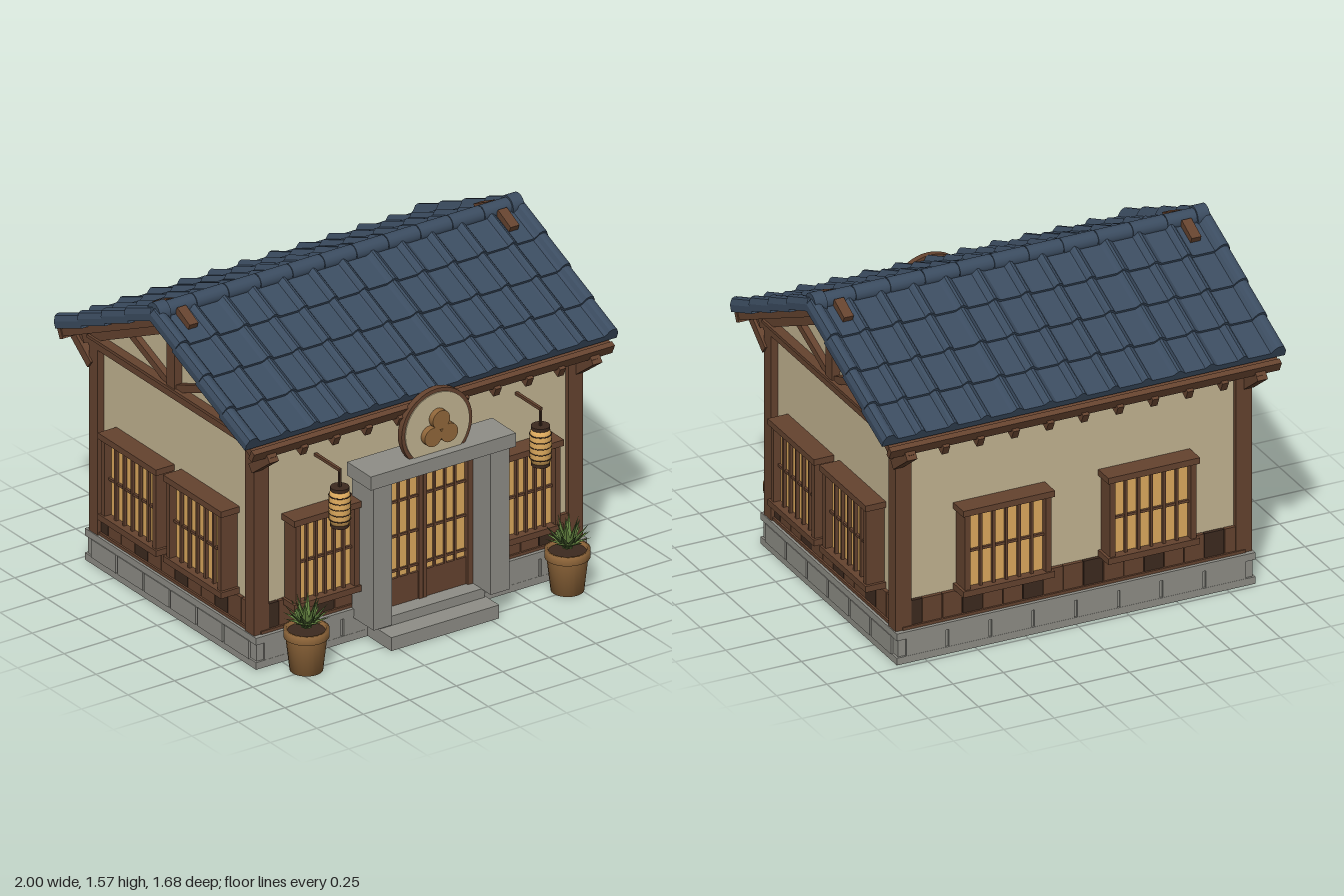
import * as THREE from 'three';

const paint = (name, color, side = THREE.FrontSide) => {
  const m = new THREE.MeshStandardMaterial({ color, side });
  m.name = name;
  return m;
};

export function createModel() {
  const root = new THREE.Group();
  root.name = 'tiledRoofHouse';
  const plaster = paint('plaster', 0xc4b592), stone = paint('stone', 0x8f8e87);
  const wood = paint('wood', 0x65432f), darkWood = paint('darkWood', 0x3d2a1f);
  const paper = paint('paper', 0xdfab5e), tile = paint('roofTile', 0x3b4c60);
  const clay = paint('clay', 0x92683b), leafLight = paint('leafLight', 0x64823f);
  const leafDark = paint('leafDark', 0x48602f);
  const CZ = -0.055, SLOPE = 0.443; // house centre line and roof pitch

  const add = (parent, name, geo, mat, x = 0, y = 0, z = 0) => {
    const m = new THREE.Mesh(geo, mat);
    m.name = name;
    m.position.set(x, y, z);
    parent.add(m);
    return m;
  };
  const group = (parent, name, x = 0, y = 0, z = 0) => {
    const g = new THREE.Group();
    g.name = name;
    g.position.set(x, y, z);
    parent.add(g);
    return g;
  };
  const box = (parent, name, mat, w, h, d, x, y, z) =>
    add(parent, name, new THREE.BoxGeometry(w, h, d), mat, x, y, z);
  // Box given by its limits
  const span = (parent, name, mat, x0, x1, y0, y1, z0, z1) =>
    box(parent, name, mat, x1 - x0, y1 - y0, z1 - z0, (x0 + x1) / 2, (y0 + y1) / 2, (z0 + z1) / 2);
  // Beam between two points of a plane of constant x
  const beam = (parent, name, mat, x, w, t, [z0, y0], [z1, y1]) => {
    const m = box(parent, name, mat, w, t, Math.hypot(z1 - z0, y1 - y0), x, (y0 + y1) / 2, (z0 + z1) / 2);
    m.rotation.x = -Math.atan2(y1 - y0, z1 - z0);
  };

  // House shell, centred on its own middle line
  const house = group(root, 'house', 0, 0, CZ);
  const section = new THREE.Shape([[-0.625, 0.12], [0.625, 0.12], [0.625, 1.13], [0, 1.44], [-0.625, 1.13]]
    .map(([z, y]) => new THREE.Vector2(z, y)));
  const shell = new THREE.ExtrudeGeometry(section, { depth: 1.7, bevelEnabled: false });
  shell.translate(0, 0, -0.85).rotateY(-Math.PI / 2);
  add(house, 'walls', shell, plaster);

  // Stone base, with blocks and wainscot planks on each side
  span(house, 'baseCore', stone, -0.88, 0.88, 0, 0.125, -0.66, 0.66);
  span(house, 'baseCap', stone, -0.89, 0.89, 0.12, 0.155, -0.67, 0.67);
  span(house, 'baseFoot', stone, -0.89, 0.89, 0, 0.035, -0.67, 0.67);
  const sides = [[0, 0.85, 0.625], [Math.PI, 0.85, 0.625], [Math.PI / 2, 0.625, 0.85], [-Math.PI / 2, 0.625, 0.85]];
  sides.forEach(([turn, half, out], side) => {
    const g = group(house, 'wallSide');
    g.rotation.y = turn;
    const n = Math.round(half * 2 / 0.21), pitch = half * 2 / n;
    for (let i = 0; i < n; i++)
      box(g, 'baseBlock', stone, pitch - 0.014, 0.09, 0.01, -half + (i + 0.5) * pitch, 0.078, out + 0.039);
    const planks = Math.round(half * 2 / 0.102), w = half * 2 / planks;
    for (let i = 0; i < planks; i++) {
      const x = -half + (i + 0.5) * w;
      if (side === 0 && Math.abs(x) < 0.27) continue;
      box(g, 'wainscotPlank', i % 3 ? wood : darkWood, w - 0.004, 0.14, 0.02, x, 0.22, out + 0.008);
    }
    box(g, 'sillBeam', wood, half * 2, 0.015, 0.035, 0, 0.162, out + 0.01);
    box(g, 'topBeam', wood, half * 2 + 0.06, 0.045, 0.05, 0, 1.092, out + 0.01);
  });
  for (const sx of [-1, 1]) for (const sz of [-1, 1]) {
    box(house, 'cornerPost', wood, 0.08, 0.98, 0.07, sx * 0.845, 0.63, sz * 0.612);
    beam(house, 'eaveBracket', wood, sx * 0.87, 0.05, 0.045, [sz * 0.63, 0.98], [sz * 0.77, 1.085]);
  }

  // Gable trusses
  for (const x of [-0.86, 0.86]) {
    box(house, 'kingPost', wood, 0.06, 0.34, 0.06, x, 1.28, 0);
    box(house, 'tieBeam', wood, 0.075, 0.015, 1.29, x, 1.118, 0);
    for (const s of [-1, 1]) {
      beam(house, 'trussRafter', wood, x, 0.05, 0.06, [0, 1.425], [s * 0.7, 1.09]);
      beam(house, 'trussStrut', wood, x, 0.04, 0.036, [s * 0.02, 1.122], [s * 0.34, 1.25]);
    }
  }

  // Latticed window, facing +z with its back on the wall
  const addWindow = (x, y, z, turn, w, h) => {
    const g = group(root, 'window', x, y, z);
    g.rotation.y = turn;
    const iw = w - 0.075, ih = h - 0.05;
    box(g, 'pane', paper, iw + 0.02, ih + 0.02, 0.05, 0, 0, 0.03);
    for (const s of [-1, 1]) {
      box(g, 'windowRail', wood, w, 0.03, 0.1, 0, s * (h / 2 - 0.015), 0.05);
      box(g, 'windowStile', wood, 0.027, h - 0.04, 0.09, s * (w / 2 - 0.027), 0, 0.046);
    }
    for (let i = 1; i <= 5; i++)
      box(g, 'latticeBar', wood, 0.013, ih, 0.016, -iw / 2 + iw * i / 6, 0, 0.068);
    box(g, 'latticeCross', wood, iw, 0.012, 0.012, 0, -0.005, 0.064);
  };
  for (const s of [-1, 1]) {
    addWindow(s * 0.54, 0.488, 0.575, 0, 0.37, 0.445);
    addWindow(s * 0.36, 0.505, -0.68, Math.PI, 0.455, 0.43);
    for (const z of [0.2, -0.31]) addWindow(s * 0.85, 0.505, z, s * Math.PI / 2, 0.455, 0.43);
  }

  // Roof: each slope runs from the ridge down local +z
  const tileProfile = (mirror) => {
    const shape = new THREE.Shape();
    const bump = (x, c, r) => Math.sqrt(Math.max(0, r * r - (x - c) ** 2));
    shape.moveTo(-1, 0);
    for (let i = 0; i <= 160; i++) {
      const x = -1 + i / 80, u = (x * mirror + 0.95) / 0.16;
      const rib = bump((u - Math.round(u)) * 0.16, 0, 0.024);
      const pan = -0.012 * Math.sin(Math.PI * (u - Math.floor(u)));
      const edge = bump(Math.abs(x), 0.968, 0.032);
      shape.lineTo(x, 0.032 + Math.max(pan + rib * 0.9, edge));
    }
    shape.lineTo(1, 0);
    return shape;
  };
  for (const s of [1, -1]) {
    const turn = group(root, 'roofSide', 0, 1.485, CZ);
    turn.rotation.y = s > 0 ? 0 : Math.PI;
    const slope = group(turn, 'roofSlope');
    slope.rotation.x = SLOPE;
    const course = new THREE.ExtrudeGeometry(tileProfile(s), { depth: 0.22, bevelEnabled: false });
    for (let i = 0; i < 4; i++) {
      const m = add(slope, 'tileCourse', course, tile, 0, -0.004, i * 0.203 - 0.012);
      m.rotation.x = -0.06;
    }
    span(slope, 'roofDeck', wood, -0.965, 0.965, -0.035, -0.001, 0, 0.85);
    span(slope, 'eaveFascia', wood, -0.97, 0.97, -0.045, 0.005, 0.825, 0.852);
    for (let i = -5; i <= 5; i++)
      span(slope, 'rafterTail', wood, i * 0.173 - 0.016, i * 0.173 + 0.016, -0.078, -0.03, 0.6, 0.868);
    for (const x of [-0.863, 0.863])
      span(slope, 'rafterHead', wood, x - 0.024, x + 0.024, -0.03, 0.066, 0.02, 0.13);
  }
  const ridge = group(root, 'ridge', 0, 1.515, CZ);
  const alongX = (r, len) => new THREE.CylinderGeometry(r, r, len, 16).rotateZ(Math.PI / 2);
  for (let i = 0; i < 11; i++) add(ridge, 'ridgeTile', alongX(0.04, 0.168), tile, (i - 5) * 0.172);
  add(ridge, 'ridgeCore', alongX(0.035, 1.9), tile);
  for (const s of [-1, 1]) add(ridge, 'ridgeEnd', alongX(0.05, 0.06), tile, s * 0.95);

  // Stone portal and steps
  span(root, 'lowerStep', stone, -0.29, 0.29, 0, 0.066, 0.58, 0.8);
  span(root, 'upperStep', stone, -0.28, 0.28, 0.06, 0.112, 0.56, 0.7);
  for (const s of [-1, 1]) box(root, 'portalColumn', stone, 0.1, 0.71, 0.17, s * 0.315, 0.465, 0.685);
  span(root, 'portalLintel', stone, -0.39, 0.39, 0.815, 0.882, 0.6, 0.785);

  // Sliding doors
  const door = group(root, 'door');
  span(door, 'doorHeader', wood, -0.27, 0.27, 0.79, 0.82, 0.56, 0.632);
  for (const s of [-1, 1]) {
    const at = (x) => s * x;
    box(door, 'doorPane', paper, 0.23, 0.56, 0.03, at(0.13), 0.52, 0.592);
    box(door, 'doorPanel', wood, 0.25, 0.135, 0.05, at(0.13), 0.178, 0.594);
    box(door, 'doorStile', wood, 0.03, 0.69, 0.06, at(0.252), 0.455, 0.602);
    box(door, 'meetingStile', wood, 0.02, 0.69, 0.045, at(0.011), 0.455, 0.604);
    for (const x of [0.07, 0.125, 0.18]) box(door, 'doorBar', wood, 0.011, 0.55, 0.014, at(x), 0.52, 0.612);
    for (const y of [0.28, 0.45, 0.62]) box(door, 'doorCross', wood, 0.23, 0.012, 0.012, at(0.13), y, 0.61);
  }

  // Round sign with three raised discs
  const facing = (r, len, n = 40) => new THREE.CylinderGeometry(r, r, len, n).rotateX(Math.PI / 2);
  const sign = group(root, 'sign', 0, 1, 0.72);
  add(sign, 'signBoard', facing(0.19, 0.03), wood);
  add(sign, 'signFace', facing(0.172, 0.008), plaster, 0, 0, 0.016);
  for (let i = 0; i < 3; i++) {
    const a = Math.PI / 2 + i * Math.PI * 2 / 3;
    add(sign, 'signDisc', facing(0.046, 0.034, 24), clay, Math.cos(a) * 0.05, Math.sin(a) * 0.05, 0.034);
  }

  // Lanterns and potted plants on both sides of the entrance
  const lathe = (pts, n) => new THREE.LatheGeometry(pts.map(([r, y]) => new THREE.Vector2(r, y)), n);
  for (const s of [-1, 1]) {
    const lantern = group(root, 'lantern', s * 0.54, 0.77, 0.76);
    add(lantern, 'lanternBody', lathe([[0, -0.085], [0.042, -0.085], [0.049, -0.05], [0.05, 0], [0.049, 0.05], [0.042, 0.085], [0, 0.085]], 20), paper);
    for (const y of [-0.088, 0.09])
      add(lantern, 'lanternCap', new THREE.CylinderGeometry(0.043, 0.043, 0.016, 20), darkWood, 0, y);
    for (let i = -2; i <= 2; i++)
      add(lantern, 'lanternHoop', new THREE.TorusGeometry(0.049, 0.0025, 5, 20).rotateX(Math.PI / 2), darkWood, 0, i * 0.029);
    box(lantern, 'lanternHook', darkWood, 0.01, 0.09, 0.01, 0, 0.14, 0);
    box(lantern, 'lanternArm', wood, 0.014, 0.014, 0.2, 0, 0.18, -0.095);

    const plant = group(root, 'pottedPlant', s * 0.702, 0, 0.735);
    add(plant, 'pot', lathe([[0, 0], [0.075, 0], [0.094, 0.165], [0.103, 0.165], [0.103, 0.205], [0.088, 0.205], [0.085, 0.18]], 24), clay);
    add(plant, 'soil', new THREE.CylinderGeometry(0.088, 0.088, 0.01, 24), darkWood, 0, 0.185);
    // Rosettes of leaves: count, tilt, length, base height, colour
    for (const [n, tilt, len, y, mat] of [[10, 1.15, 0.11, 0.225, leafLight], [9, 0.75, 0.13, 0.215, leafDark], [6, 0.3, 0.155, 0.21, leafLight]]) {
      const leaf = new THREE.ConeGeometry(0.024, len, 4).translate(0, len / 2, 0)
        .scale(1, 1, 0.4).rotateX(tilt).translate(0, 0, 0.008).toNonIndexed();
      leaf.computeVertexNormals();
      for (let i = 0; i < n; i++)
        add(plant, 'leaf', leaf, mat, 0, y).rotation.y = (i + tilt) * Math.PI * 2 / n;
    }
  }
  return root;
}
